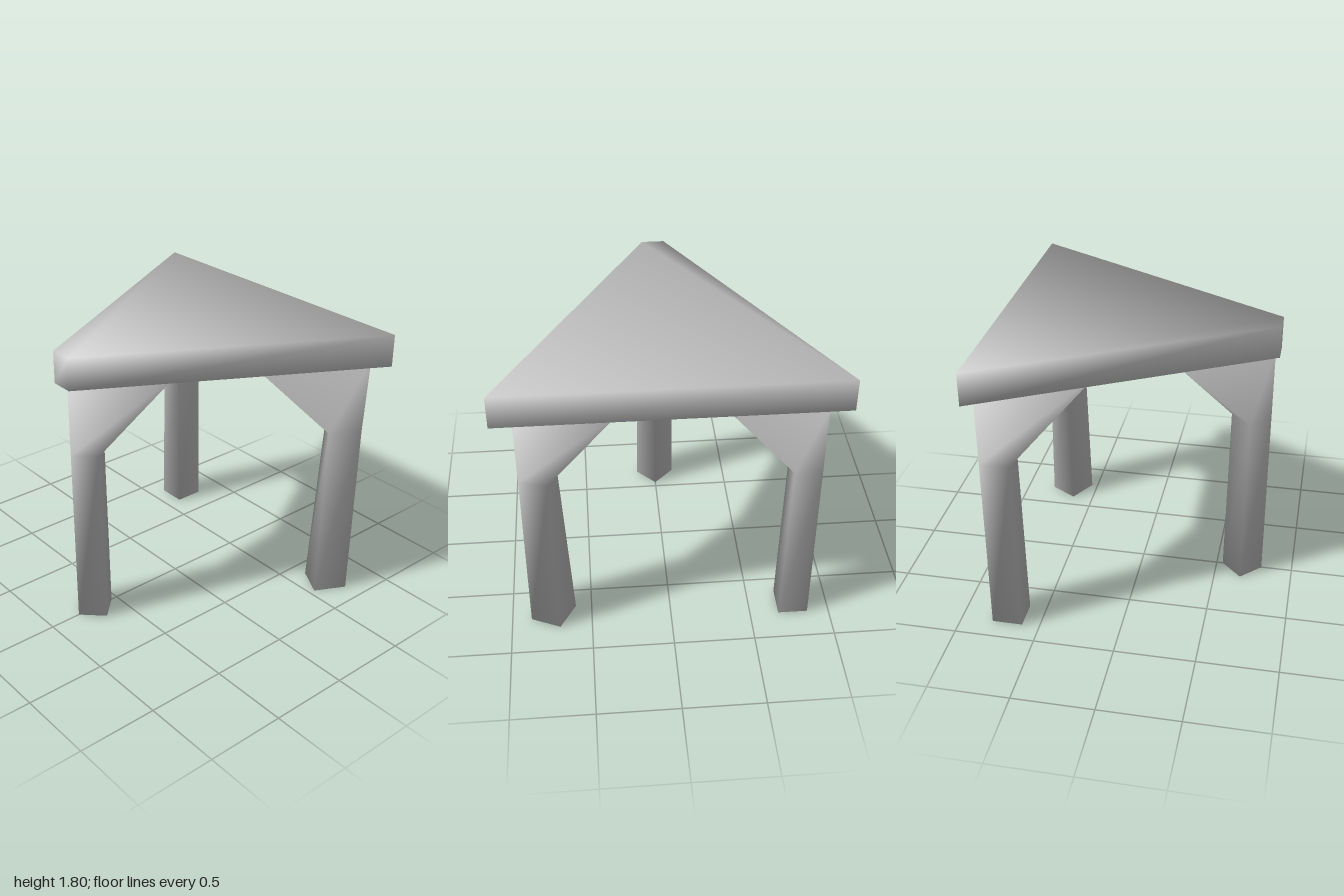
import * as THREE from 'three';
import { toCreasedNormals } from 'three/addons/utils/BufferGeometryUtils.js';

// Closed loft through rings of [x, z] corners (counter-clockwise from above),
// shaded smoothly over every edge.
function loft(rings, heights) {
  const n = rings[0].length;
  const positions = [];
  const index = [];
  rings.forEach((ring, r) => ring.forEach(([x, z]) => positions.push(x, heights[r], z)));
  for (let r = 0; r < rings.length - 1; r++) {
    for (let i = 0; i < n; i++) {
      const a = r * n + i;
      const b = r * n + (i + 1) % n;
      index.push(a, b, b + n, a, b + n, a + n);
    }
  }
  const top = (rings.length - 1) * n;
  for (let i = 1; i < n - 1; i++) {
    index.push(0, i + 1, i);
    index.push(top, top + i, top + i + 1);
  }
  const geometry = new THREE.BufferGeometry();
  geometry.setAttribute('position', new THREE.Float32BufferAttribute(positions, 3));
  geometry.setIndex(index);
  return toCreasedNormals(geometry, Math.PI);
}

export function createModel() {
  const model = new THREE.Group();
  model.name = 'threeLeggedStool';
  const material = new THREE.MeshStandardMaterial({ color: 0xcccccc });

  const add = (name, rings, heights) => {
    const mesh = new THREE.Mesh(loft(rings, heights), material);
    mesh.name = name;
    model.add(mesh);
  };

  // Triangular seat with a blunt front tip
  const outline = [[-1, -0.83], [-0.08, 0.83], [0.06, 0.83], [1, -0.83]];
  add('seat', [outline, outline], [1.6, 1.8]);

  // Legs: foot, start of the flare, and wide kite-shaped head under the seat
  const legHeights = [0, 1.15, 1.6];
  add('frontLeg', [
    [[0, 0.8], [0.125, 0.67], [0, 0.54], [-0.13, 0.67]],
    [[0, 0.8], [0.115, 0.68], [0, 0.555], [-0.12, 0.68]],
    [[0, 0.8], [0.3, 0.26], [0, 0.18], [-0.31, 0.26]],
  ], legHeights);
  add('backRightLeg', [
    [[-0.865, -0.8], [-0.865, -0.61], [-0.68, -0.61], [-0.68, -0.8]],
    [[-0.865, -0.8], [-0.86, -0.62], [-0.7, -0.62], [-0.7, -0.8]],
    [[-0.865, -0.8], [-0.54, -0.19], [-0.31, -0.5], [-0.31, -0.79]],
  ], legHeights);
  add('backLeftLeg', [
    [[0.88, -0.73], [0.7, -0.81], [0.6, -0.64], [0.78, -0.54]],
    [[0.875, -0.76], [0.71, -0.8], [0.655, -0.67], [0.78, -0.57]],
    [[0.875, -0.79], [0.31, -0.78], [0.31, -0.5], [0.55, -0.18]],
  ], legHeights);

  return model;
}
